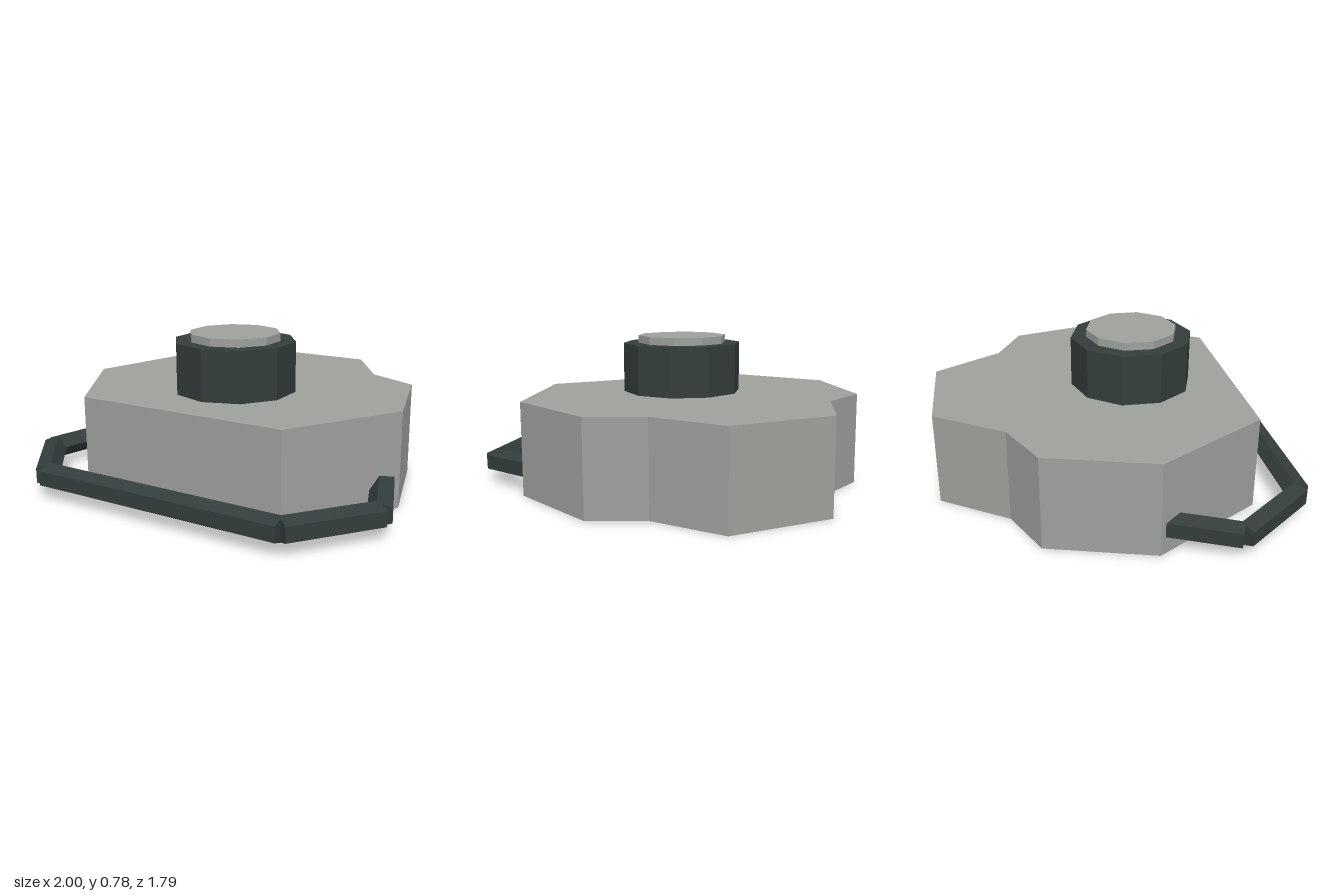
import * as THREE from 'three';

const grey = new THREE.MeshStandardMaterial({ name: 'stone grey', color: 0x9fa19d, flatShading: true });
const dark = new THREE.MeshStandardMaterial({ name: 'dark slate', color: 0x343d3d, flatShading: true });

function add(parent, name, geometry, material) {
  const mesh = new THREE.Mesh(geometry, material);
  mesh.name = name;
  parent.add(mesh);
  return mesh;
}

// Five-sided bar from a to b, with one ridge pointing towards the body
function bar(parent, name, a, b, radius) {
  const along = b.clone().sub(a);
  const length = along.length();
  along.normalize();
  const inward = new THREE.Vector3(0, 1, 0).cross(along).normalize();
  const middle = a.clone().add(b).multiplyScalar(0.5);
  if (inward.dot(new THREE.Vector3(-middle.x, 0, -middle.z)) < 0) inward.negate();
  const side = along.clone().cross(inward);
  const geometry = new THREE.CylinderGeometry(radius, radius, length, 5);
  geometry.applyMatrix4(new THREE.Matrix4().makeBasis(side, along, inward).setPosition(middle));
  add(parent, name, geometry, dark);
}

export function createModel() {
  const group = new THREE.Group();
  group.name = 'knobbed housing with handle';

  // Body: mirrored ten-point outline (x, z), extruded upwards
  const half = [[0.555, 0.655], [0.9, 0.105], [0.76, -0.425], [0.495, -0.555], [0.275, -0.9]];
  const outline = [...half, ...half.map(([x, z]) => [-x, z]).reverse()];
  const shape = new THREE.Shape(outline.map(([x, z]) => new THREE.Vector2(x, -z)));
  const body = new THREE.ExtrudeGeometry(shape, { depth: 0.48, bevelEnabled: false });
  body.rotateX(-Math.PI / 2);
  add(group, 'body', body, grey);

  // Ten-sided knob with a raised cap
  add(group, 'knob', new THREE.CylinderGeometry(0.315, 0.315, 0.26, 10), dark).position.set(0, 0.61, 0.125);
  add(group, 'knobCap', new THREE.CylinderGeometry(0.235, 0.235, 0.08, 10), grey).position.set(0, 0.74, 0.125);

  // Handle: five straight bars around the front
  const handle = new THREE.Group();
  handle.name = 'handle';
  group.add(handle);
  const path = [
    [-0.82, 0.128, 0.1], [-0.952, 0.11, 0.475], [-0.655, 0.11, 0.842],
    [0.655, 0.11, 0.842], [0.952, 0.11, 0.475], [0.82, 0.128, 0.1],
  ].map((p) => new THREE.Vector3(...p));
  const names = ['rightRearBar', 'rightCornerBar', 'frontBar', 'leftCornerBar', 'leftRearBar'];
  names.forEach((name, i) => bar(handle, name, path[i], path[i + 1], 0.063));

  return group;
}
